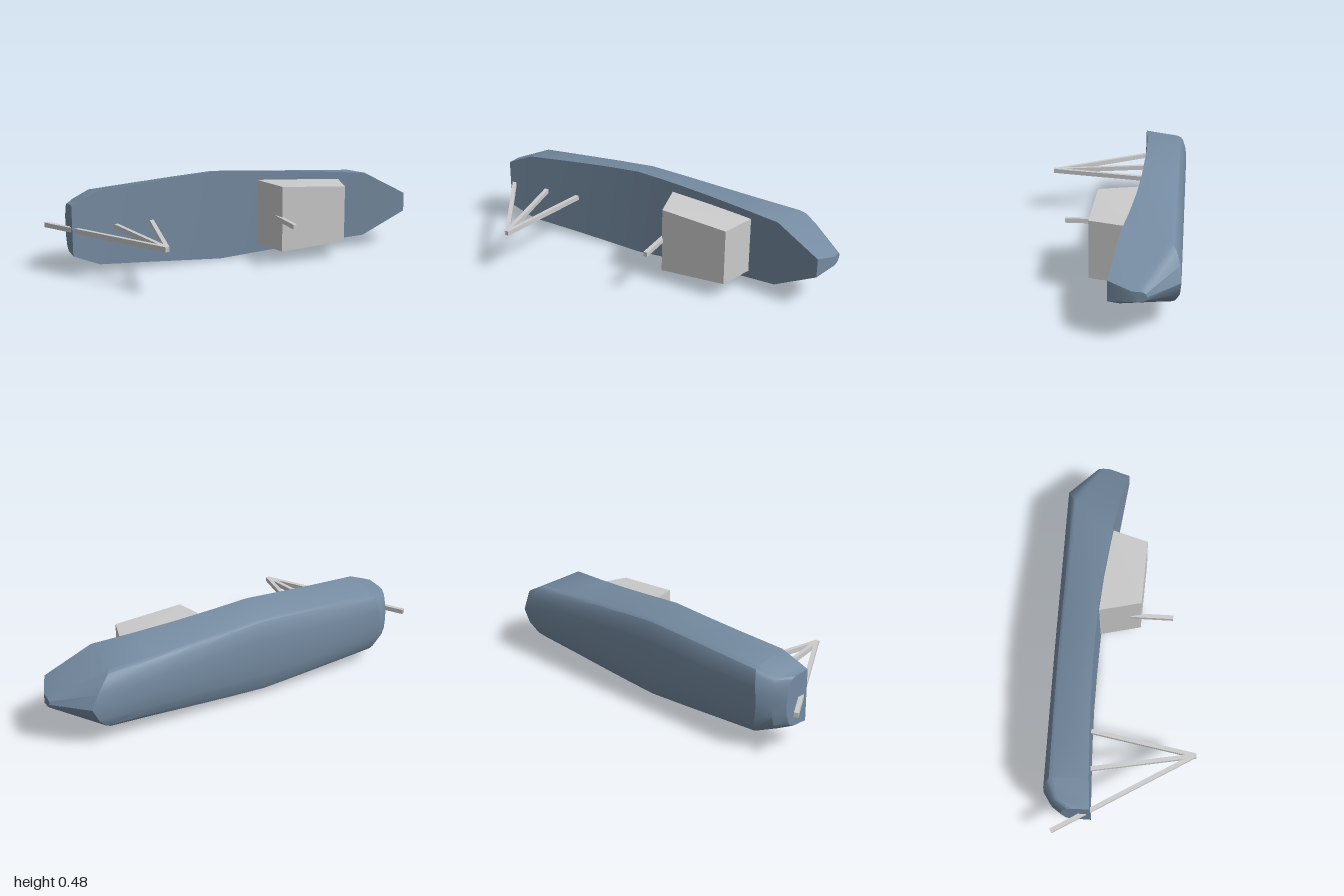
import * as THREE from 'three';
import { toCreasedNormals } from 'three/addons/utils/BufferGeometryUtils.js';

const MID = 0.24; // height of the centreline
const blue = new THREE.MeshStandardMaterial({ color: 0x758ba1 });
const grey = new THREE.MeshStandardMaterial({ color: 0xcccccc });

// Half section: [width, depth, lengthwise shift] as fractions, deck edge to keel
const SECTION = [[1, 0, 0], [0.86, 0.77, 0.08], [0.81, 0.85, 0.2], [0.7, 0.91, 0.4], [0.4, 0.98, 0.75], [0, 1, 1]];
const STEM = [[1, 0, 0], [0.5, 0.63, 1], [0.5, 0.8, 1], [0.45, 0.9, 1], [0.3, 0.97, 1], [0, 1, 1]];
const TRANSOM = [[1, 0, 0], [0.96, 0.6, 0], [0.9, 0.75, 0], [0.75, 0.87, 0], [0.4, 0.97, 0], [0, 1, 0]];

// Stations: [deck x, keel x, half width, deck z, keel z, section]
const STATIONS = [
  [-0.9, -0.9, 0.13, -0.137, -0.28, TRANSOM],
  [-0.86, -0.86, 0.148, -0.14, -0.335, SECTION],
  [-0.76, -0.8, 0.19, -0.147, -0.375, SECTION],
  [-0.5, -0.5, 0.21, -0.16, -0.375, SECTION],
  [-0.3, -0.3, 0.225, -0.165, -0.375, SECTION],
  [-0.1, -0.1, 0.238, -0.164, -0.375, SECTION],
  [0.1, 0.1, 0.224, -0.158, -0.375, SECTION],
  [0.3, 0.3, 0.208, -0.144, -0.375, SECTION],
  [0.5, 0.5, 0.192, -0.122, -0.375, SECTION],
  [0.72, 0.85, 0.175, -0.092, -0.375, SECTION],
  [0.95, 1.0, 0.05, -0.053, -0.23, STEM],
];

function hullGeometry() {
  const pos = [], idx = [], n = 11;
  for (const [xd, xk, hw, zd, zk, sec] of STATIONS) {
    for (let j = 0; j < n; j++) {
      const side = j < 6 ? 1 : -1;
      const [w, d, e] = sec[j < 6 ? j : n - 1 - j];
      pos.push(xd + (xk - xd) * e, MID + side * w * hw, zd + (zk - zd) * d);
    }
  }
  // skin, including the deck strip that closes each ring
  for (let i = 0; i < STATIONS.length - 1; i++) {
    for (let j = 0; j < n; j++) {
      const k = (j + 1) % n;
      const a = i * n + j, b = a + n, c = i * n + k, d = c + n;
      idx.push(a, b, d, a, d, c);
    }
  }
  // transom and stem, filled straight across
  const last = (STATIONS.length - 1) * n;
  for (let j = 0; j < 5; j++) {
    const a = j, b = j + 1, c = n - 2 - j, d = n - 1 - j;
    idx.push(a, b, c, a, c, d);
    idx.push(last + a, last + c, last + b, last + a, last + d, last + c);
  }
  const g = new THREE.BufferGeometry();
  g.setAttribute('position', new THREE.Float32BufferAttribute(pos, 3));
  g.setIndex(idx);
  return toCreasedNormals(g, 0.45);
}

// Cabin: box tapered toward its top and narrower toward the bow
function cabinGeometry() {
  const g = new THREE.BoxGeometry(2, 2, 2);
  const p = g.attributes.position;
  for (let i = 0; i < p.count; i++) {
    const fore = p.getX(i) > 0, top = p.getZ(i) > 0;
    const x = fore ? (top ? 0.515 : 0.575) : (top ? 0.16 : 0.105);
    const z = top ? (fore ? 0.07 : 0.055) : (fore ? -0.13 : -0.175);
    p.setXYZ(i, x, MID + p.getY(i) * (fore ? 0.148 : 0.173), z);
  }
  const flat = g.toNonIndexed();
  flat.computeVertexNormals();
  return flat;
}

// Square bar between two points [x, z] on the centreline
function bar(name, [x0, z0], [x1, z1]) {
  const length = Math.hypot(x1 - x0, z1 - z0);
  const m = new THREE.Mesh(new THREE.BoxGeometry(0.021, 0.024, length), grey);
  m.position.set((x0 + x1) / 2, MID, (z0 + z1) / 2);
  m.rotation.y = Math.atan2(x1 - x0, z1 - z0);
  m.name = name;
  return m;
}

export function createModel() {
  const model = new THREE.Group();
  model.name = 'boat';

  const hull = new THREE.Mesh(hullGeometry(), blue);
  hull.name = 'hull';
  const cabin = new THREE.Mesh(cabinGeometry(), grey);
  cabin.name = 'cabin';
  model.add(hull, cabin, bar('cabinMast', [0.155, 0], [0.155, 0.223]));

  // Stern frame: three bars meeting at one point, the longest passing the transom
  const frame = new THREE.Group();
  frame.name = 'sternFrame';
  frame.add(
    bar('longStay', [-0.575, 0.362], [-0.99, -0.325]),
    bar('aftLeg', [-0.575, 0.37], [-0.68, -0.2]),
    bar('foreLeg', [-0.575, 0.37], [-0.472, -0.2]),
  );
  model.add(frame);
  return model;
}
